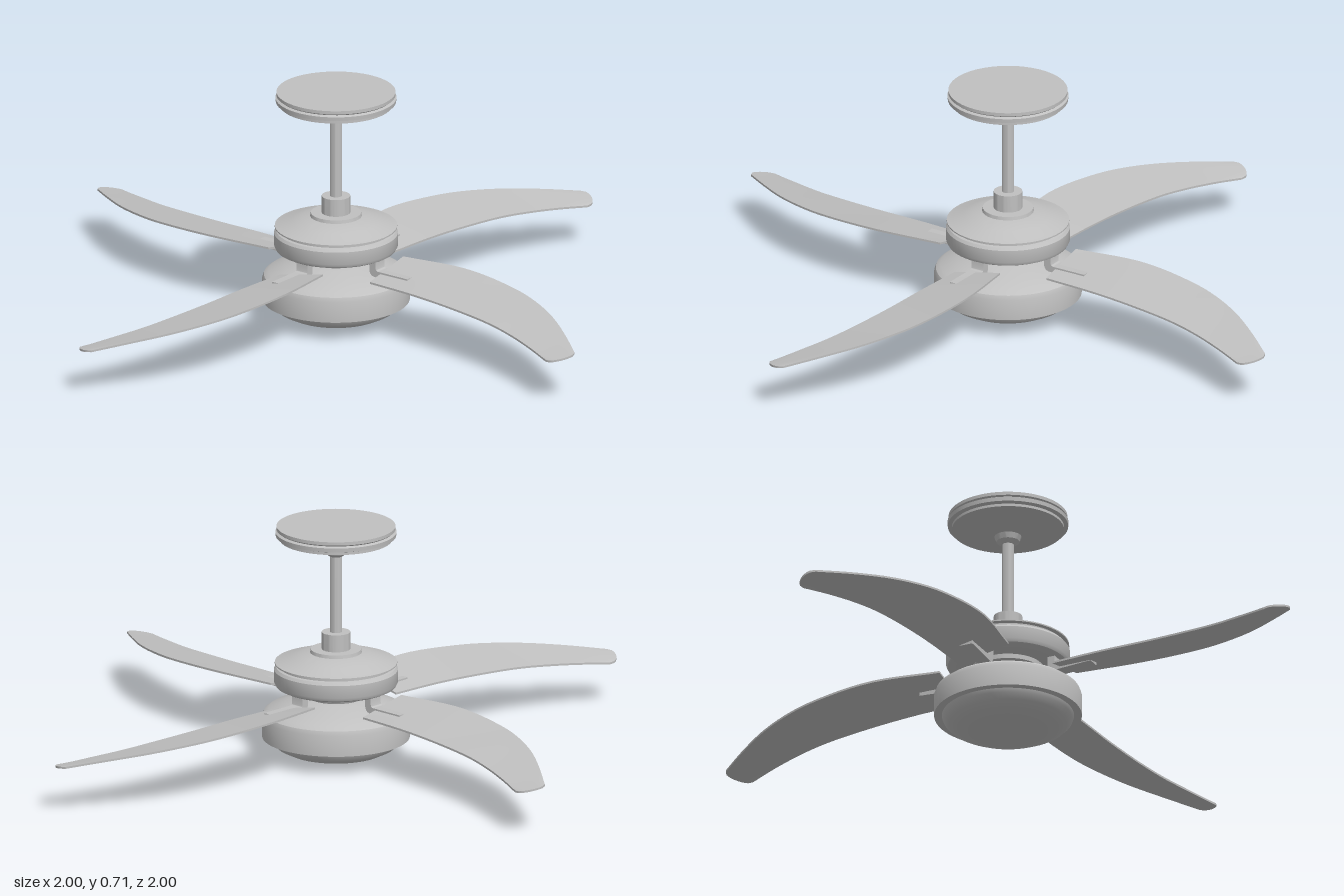
import * as THREE from 'three';
import { toCreasedNormals } from 'three/addons/utils/BufferGeometryUtils.js';

const metal = new THREE.MeshStandardMaterial({ color: 0xc0c0c0 });
metal.name = 'satin grey';

function part(name, geometry) {
  const mesh = new THREE.Mesh(geometry, metal);
  mesh.name = name;
  return mesh;
}

// Turned part from [radius, height] pairs, bottom to top
function turned(name, profile) {
  const points = profile.map(([r, y]) => new THREE.Vector2(r, y));
  return part(name, toCreasedNormals(new THREE.LatheGeometry(points, 64), 0.5));
}

const curve = (points) => new THREE.CatmullRomCurve3(points.map((p) => new THREE.Vector3(...p)));

// Pitched, drooping sabre blade: a slab stretched between two edge curves
function bladeGeometry() {
  const high = curve([[0.18, 0.203, -0.09], [0.4, 0.205, -0.112], [0.6, 0.194, -0.085],
    [0.7, 0.186, -0.052], [0.8, 0.175, -0.002], [0.9, 0.161, 0.067], [0.993, 0.145, 0.14]]);
  const low = curve([[0.18, 0.168, 0.07], [0.35, 0.168, 0.08], [0.5, 0.163, 0.092],
    [0.65, 0.156, 0.113], [0.75, 0.148, 0.137], [0.85, 0.139, 0.172], [0.938, 0.129, 0.208]]);
  const geometry = new THREE.BoxGeometry(1, 0.006, 1, 32, 1, 10);
  const pos = geometry.attributes.position;
  for (let i = 0; i < pos.count; i++) {
    const u = pos.getX(i) + 0.5, w = pos.getZ(i) + 0.5;
    const p = high.getPoint(u).lerp(low.getPoint(u), w);
    const bulge = 0.024 * Math.sqrt(Math.max(0, 1 - (2 * w - 1) ** 2)) * u ** 12;
    pos.setXYZ(i, p.x + bulge * 0.76, p.y + pos.getY(i), p.z + bulge * 0.65);
  }
  geometry.computeVertexNormals();
  return geometry;
}

// Bent strap that drops from the motor and runs out under the blade
function bracketGeometry() {
  const s = new THREE.Shape();
  s.moveTo(0.14, 0.225);
  s.lineTo(0.14, 0.19);
  s.quadraticCurveTo(0.14, 0.168, 0.162, 0.168);
  s.lineTo(0.28, 0.175);
  s.lineTo(0.28, 0.187);
  s.lineTo(0.172, 0.187);
  s.quadraticCurveTo(0.163, 0.187, 0.163, 0.196);
  s.lineTo(0.163, 0.225);
  const geometry = new THREE.ExtrudeGeometry(s, { depth: 0.042, bevelEnabled: false, curveSegments: 8 });
  return toCreasedNormals(geometry.translate(0, 0, -0.021), 0.5);
}

export function createModel() {
  const fan = new THREE.Group();
  fan.name = 'ceilingFan';

  // Ceiling mount and rod
  fan.add(turned('ceilingCanopy', [[0, 0.612], [0.02, 0.614], [0.034, 0.624], [0.04, 0.64], [0.07, 0.646],
    [0.13, 0.656], [0.165, 0.664], [0.165, 0.672], [0.177, 0.676], [0.178, 0.688], [0.17, 0.692],
    [0.175, 0.696], [0.175, 0.706], [0, 0.706]]));
  fan.add(turned('downRod', [[0, 0.36], [0.018, 0.36], [0.018, 0.625], [0, 0.625]]));
  fan.add(turned('rodCollar', [[0, 0.32], [0.042, 0.32], [0.042, 0.382], [0, 0.382]]));

  // Motor housing with a grooved shoulder
  fan.add(turned('motorHousing', [[0, 0.214], [0.165, 0.214], [0.177, 0.22], [0.182, 0.23], [0.182, 0.268],
    [0.176, 0.276], [0.168, 0.278], [0.168, 0.284], [0.18, 0.286], [0.18, 0.29], [0.165, 0.294],
    [0.13, 0.307], [0.1, 0.316], [0.076, 0.32], [0.074, 0.33], [0, 0.33]]));
  fan.add(turned('lowerHub', [[0, 0.16], [0.07, 0.16], [0.085, 0.19], [0.105, 0.2], [0.105, 0.216], [0, 0.216]]));

  // Light kit
  fan.add(turned('lightHousing', [[0.19, 0.062], [0.217, 0.062], [0.217, 0.125], [0.212, 0.138], [0.198, 0.148],
    [0.15, 0.164], [0.1, 0.18], [0.07, 0.186], [0, 0.186]]));
  fan.add(turned('lightBowl', [[0, 0], [0.05, 0.002], [0.1, 0.009], [0.145, 0.02], [0.175, 0.035],
    [0.19, 0.05], [0.195, 0.064]]));

  // Four blades with their brackets
  const blade = bladeGeometry();
  const bracket = bracketGeometry();
  for (let i = 0; i < 4; i++) {
    const arm = new THREE.Group();
    arm.name = 'bladeArm' + (i + 1);
    arm.add(part('blade', blade), part('bladeBracket', bracket));
    arm.rotation.y = i * Math.PI / 2;
    fan.add(arm);
  }
  return fan;
}
